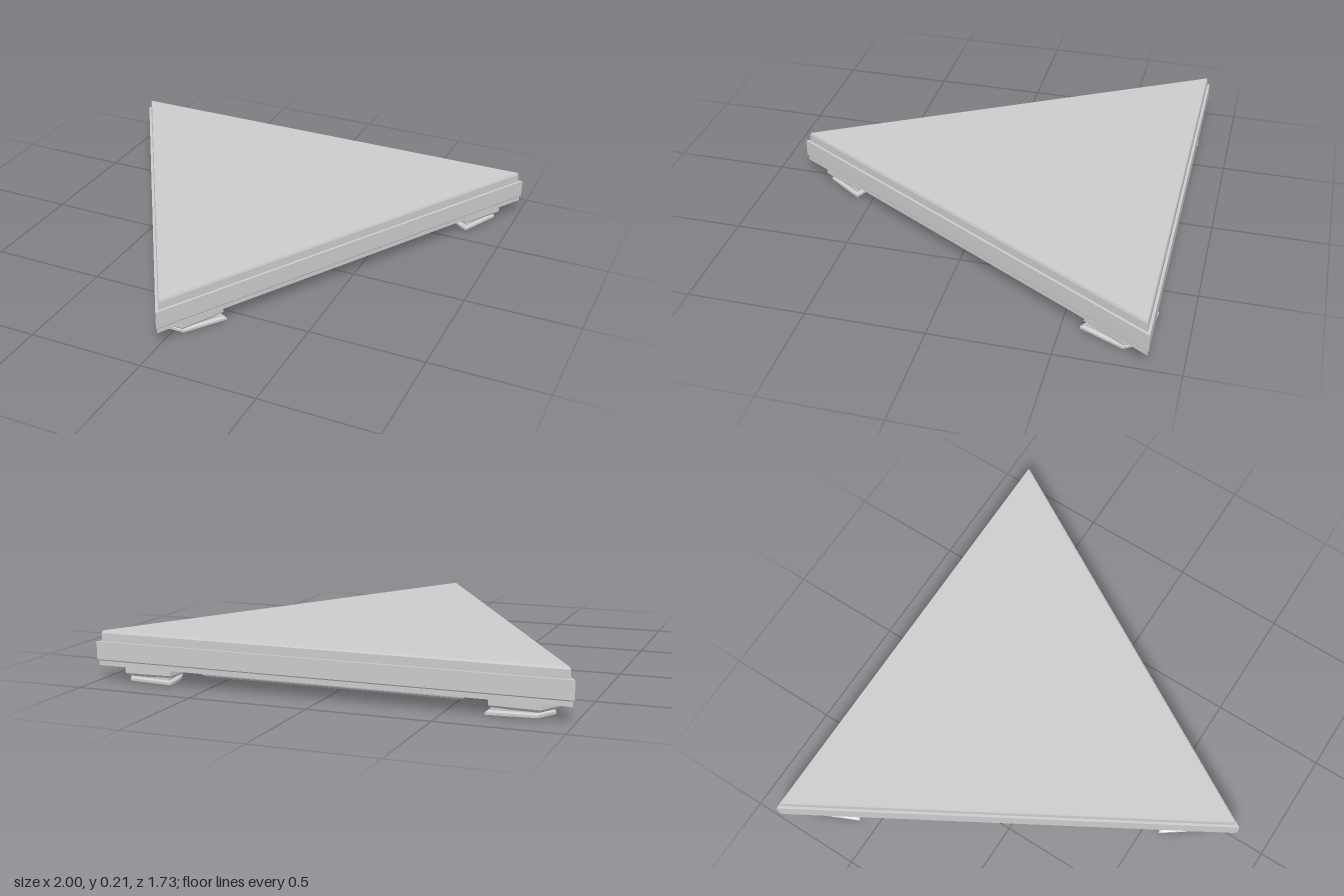
import * as THREE from 'three';

const CENTRE = 0.289; // distance of the triangle's centroid behind the origin
const CORNERS = [-Math.PI / 2, Math.PI / 6, Math.PI * 5 / 6];

// Places a profile of [radial, tangential] pairs at one corner direction (plan, y pointing back)
const place = (profile, a) => profile.map(([r, t]) => new THREE.Vector2(
  r * Math.cos(a) - t * Math.sin(a),
  r * Math.sin(a) + t * Math.cos(a) + CENTRE
));
// Repeats a corner profile at all three corners to make a closed outline
const outline = (profile) => CORNERS.flatMap((a) => place(profile, a));
const triangle = (inset) => outline([[1.155 - 2 * inset, 0]]);

// Skins a stack of matching outlines [points, y], with optional caps and a hole in the first cap
function skin(rings, { start = true, end = true, hole = [] } = {}) {
  const pos = [];
  const put = (p, y) => pos.push(p.x, y, -p.y);
  for (let k = 0; k < rings.length - 1; k++) {
    const [a, ya] = rings[k], [b, yb] = rings[k + 1];
    a.forEach((p, i) => {
      const j = (i + 1) % a.length;
      put(p, ya); put(a[j], ya); put(b[j], yb);
      put(p, ya); put(b[j], yb); put(b[i], yb);
    });
  }
  const cap = ([pts, y], holes, flip) => {
    const all = pts.concat(...holes);
    for (const f of THREE.ShapeUtils.triangulateShape(pts.slice(), holes.map((h) => h.slice()))) {
      (flip ? [f[0], f[2], f[1]] : f).forEach((i) => put(all[i], y));
    }
  };
  if (start) cap(rings[0], hole, true);
  if (end) cap(rings[rings.length - 1], [], false);
  const g = new THREE.BufferGeometry();
  g.setAttribute('position', new THREE.Float32BufferAttribute(pos, 3));
  g.computeVertexNormals();
  return g;
}

// Curved values across a width: concave ends of the plate and rounded inner edge of the feet
function arc(r, depth, half, steps = 8) {
  return Array.from({ length: steps + 1 }, (_, i) => {
    const t = (i / steps) * 2 - 1;
    return [r + depth * t * t, half * t];
  });
}

export function createModel() {
  const model = new THREE.Group();
  model.name = 'triangularTile';
  const material = new THREE.MeshStandardMaterial({ color: 0xcccccc, flatShading: true });
  const add = (name, geometry, parent = model) => {
    const mesh = new THREE.Mesh(geometry, material);
    mesh.name = name;
    parent.add(mesh);
  };

  // Outer band with a slim lower lip
  add('outerBand', skin([
    [triangle(0.004), 0.065], [triangle(0.004), 0.085],
    [triangle(0), 0.09], [triangle(0), 0.165]
  ]));

  // Slightly inset top slab with a fine bevel
  add('topSlab', skin([
    [triangle(0.011), 0.165], [triangle(0.011), 0.2], [triangle(0.015), 0.21]
  ], { start: false }));

  // Underside plate: sloped sides, scalloped corners, hollow in the middle
  const plate = (s) => outline(arc(0.69 - s, 0.05, 0.16 - s * 0.577));
  const hollow = (s) => outline([[0.335 - s, -0.04], [0.335 - s, 0.04]]);
  const mouth = hollow(0);
  add('undersidePlate', skin(
    [[plate(0.03), 0.03], [plate(0.008), 0.042], [plate(0), 0.066]],
    { end: false, hole: [mouth.slice().reverse()] }
  ));
  add('centreHollow', skin([[hollow(0.03), 0.058], [mouth, 0.03]], { end: false }));

  // Corner supports: a mounting pad with a stepped foot beneath
  const footProfile = (s) => [[1.02, -0.05], [1.02, 0.05],
    ...arc(0.81, 0.05, 0.165).reverse()].map(([r, t]) => [0.92 + (r - 0.92) * s, t * s]);
  const padProfile = (s) => [[1.04, -0.055], [1.04, 0.055],
    ...arc(0.79, 0.07, 0.15).reverse()].map(([r, t]) => [0.92 + (r - 0.92) * s, t * s]);
  const names = ['frontSupport', 'backLeftSupport', 'backRightSupport'];
  CORNERS.forEach((a, i) => {
    const support = new THREE.Group();
    support.name = names[i];
    const foot = (s) => place(footProfile(s), a);
    const pad = (s) => place(padProfile(s), a);
    add('pad', skin([[pad(0.9), 0.028], [pad(1), 0.04], [pad(1), 0.066]]), support);
    add('foot', skin([
      [foot(0.93), 0], [foot(1), 0.006], [foot(1), 0.016],
      [foot(0.88), 0.022], [foot(0.88), 0.03]
    ]), support);
    model.add(support);
  });

  return model;
}
